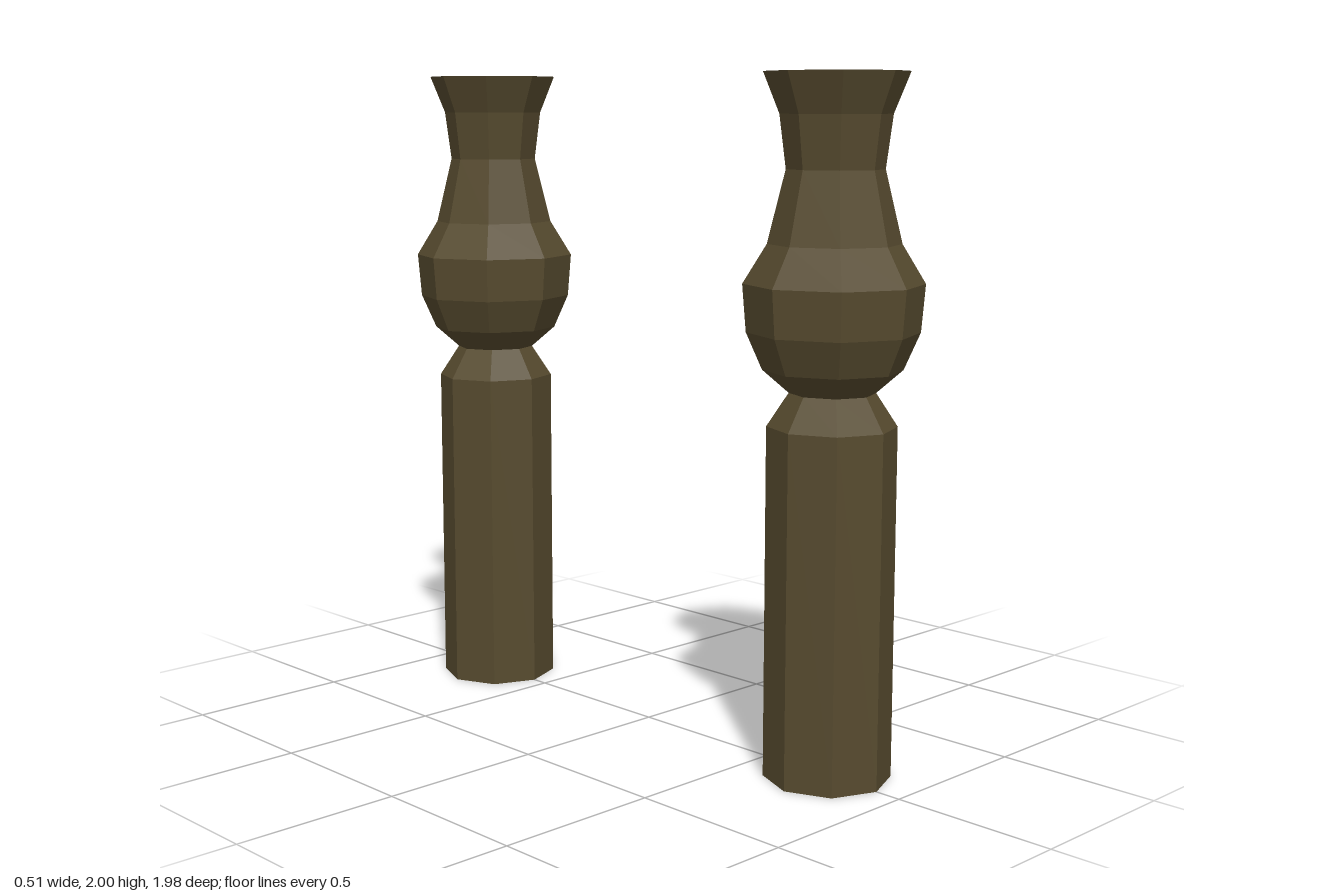
import * as THREE from 'three';

export function createModel() {
  const model = new THREE.Group();
  model.name = 'turnedPosts';

  const darkWood = new THREE.MeshStandardMaterial({
    color: 0x574b2f, flatShading: true, side: THREE.DoubleSide,
  });
  darkWood.name = 'darkWood';

  // Open-ended eight-sided turnings, as [radius, height] profiles
  const turning = (name, profile) => {
    const points = profile.map(([r, y]) => new THREE.Vector2(r, y));
    const mesh = new THREE.Mesh(new THREE.LatheGeometry(points, 8), darkWood);
    mesh.name = name;
    return mesh;
  };

  const makePost = (name, z) => {
    const post = new THREE.Group();
    post.name = name;
    // Straight shaft with a tapered shoulder
    post.add(turning('shaft', [[0.184, 0], [0.184, 1.02], [0.122, 1.115]]));
    // Rounded bulb, narrow neck and flared rim
    post.add(turning('vase', [
      [0.122, 1.115], [0.197, 1.18], [0.243, 1.285], [0.254, 1.42],
      [0.187, 1.53], [0.137, 1.735], [0.156, 1.885], [0.202, 2],
    ]));
    post.position.z = z;
    return post;
  };

  model.add(makePost('frontPost', 0.736), makePost('backPost', -0.736));
  return model;
}
